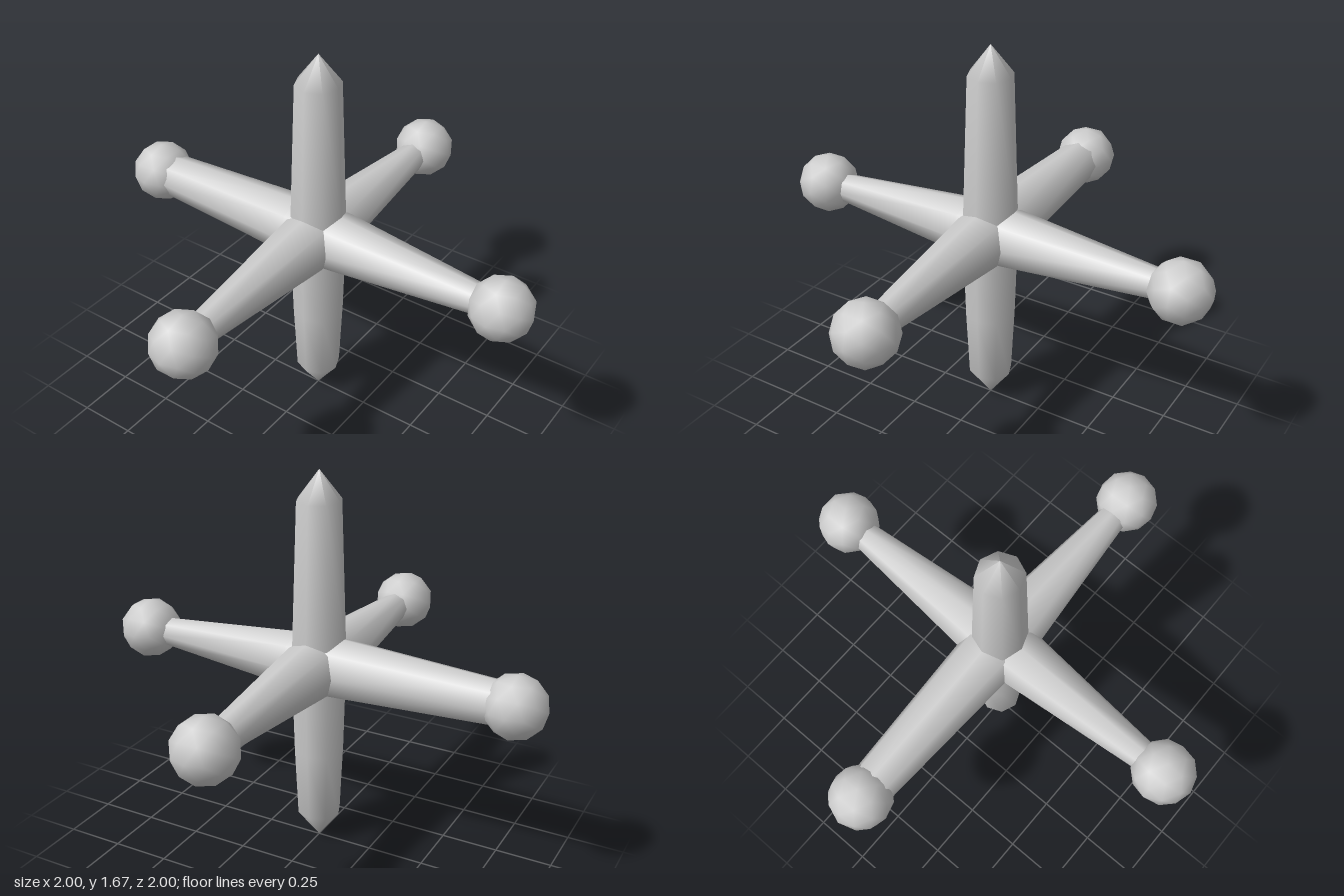
import * as THREE from 'three';

const CENTRE_Y = 0.84;
const SIDES = 8;
const material = new THREE.MeshStandardMaterial({ color: 0xcccccc, side: THREE.DoubleSide });

// Turned part along +y; profile is a list of [radius, height]
function turned(profile, name) {
  const points = profile.map(([r, h]) => new THREE.Vector2(r, h));
  const mesh = new THREE.Mesh(new THREE.LatheGeometry(points, SIDES), material);
  mesh.name = name;
  return mesh;
}

// Tapered arm ending in a ball, pointing along +y before it is turned
function ballArm(name, rootRadius, tipRadius) {
  const arm = new THREE.Group();
  arm.name = name;
  arm.add(turned([[rootRadius, 0], [rootRadius - 0.005, 0.11], [tipRadius, 0.78], [tipRadius, 0.84]], 'taperedRod'));
  const ball = new THREE.Mesh(new THREE.IcosahedronGeometry(0.135, 1), material);
  ball.name = 'ball';
  ball.position.y = 0.866;
  arm.add(ball);
  return arm;
}

export function createModel() {
  const model = new THREE.Group();
  model.name = 'jack';
  const up = new THREE.Vector3(0, 1, 0);

  // Four horizontal arms; the right one is thicker
  const arms = [
    ['leftArm', [1, 0, 0], 0.132, 0.063],
    ['rightArm', [-1, 0, 0], 0.137, 0.097],
    ['frontArm', [0, 0, 1], 0.132, 0.063],
    ['backArm', [0, 0, -1], 0.132, 0.063],
  ];
  for (const [name, dir, root, tip] of arms) {
    const arm = ballArm(name, root, tip);
    arm.quaternion.setFromUnitVectors(up, new THREE.Vector3(...dir));
    arm.position.y = CENTRE_Y;
    model.add(arm);
  }

  // Pointed vertical spikes
  const upper = turned([[0.12, 0], [0.117, 0.11], [0.096, 0.71], [0, 0.835]], 'upperSpike');
  upper.position.y = CENTRE_Y;
  const lower = turned([[0.117, 0], [0.115, 0.2], [0.11, 0.4], [0.096, 0.71], [0, 0.84]], 'lowerSpike');
  lower.position.y = CENTRE_Y;
  lower.rotation.x = Math.PI;
  model.add(upper, lower);
  return model;
}
